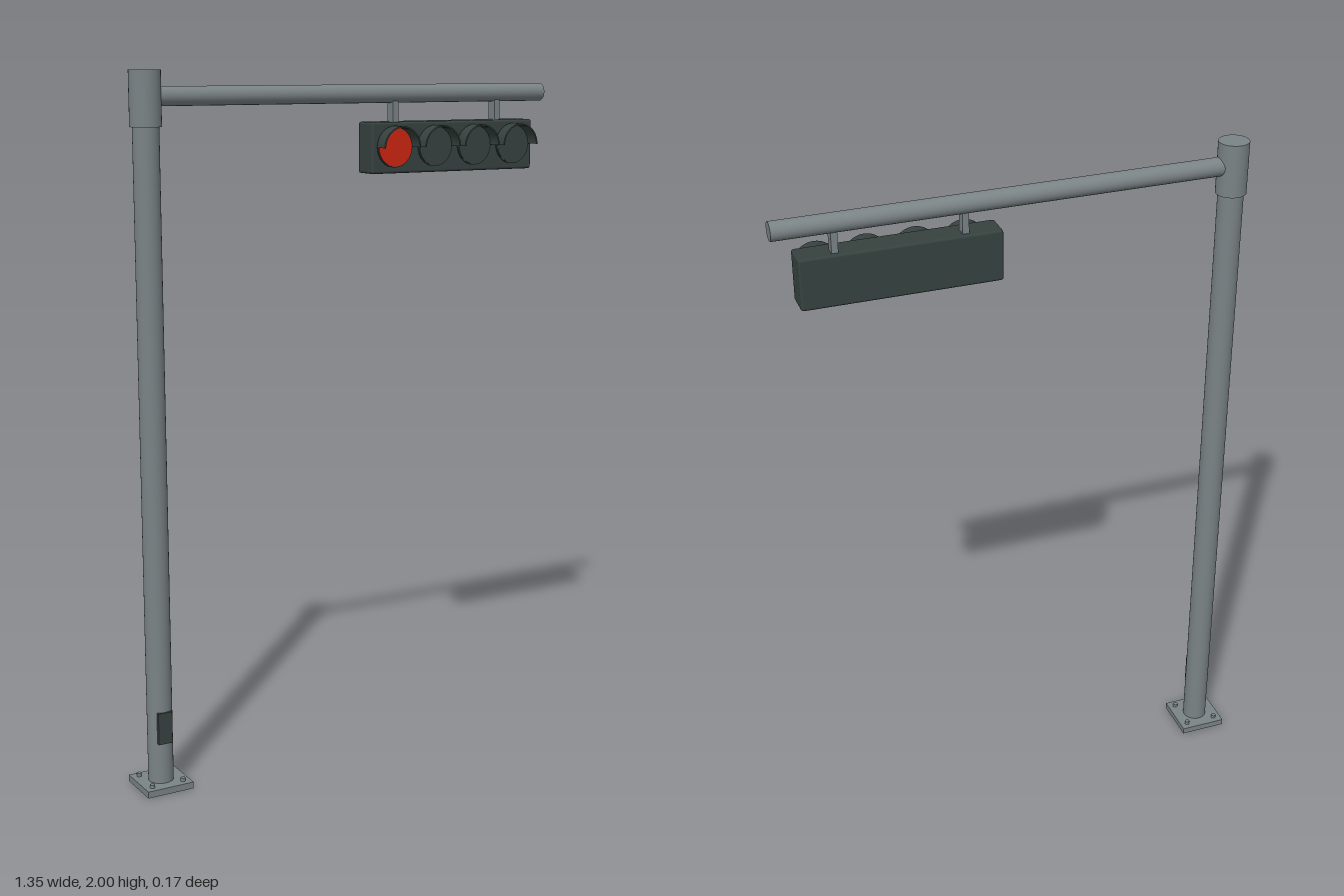
import * as THREE from 'three';
import { RoundedBoxGeometry } from 'three/addons/geometries/RoundedBoxGeometry.js';

const POLE_X = -0.605, POLE_Z = -0.0145, ARM_Y = 1.931;
const LAMP_Y = 1.783, FACE_Z = 0.037;

export function createModel() {
  const steel = new THREE.MeshStandardMaterial({ color: 0x7a8386 });
  steel.name = 'steel grey';
  const dark = new THREE.MeshStandardMaterial({ color: 0x36423f });
  dark.name = 'dark housing';
  const red = new THREE.MeshStandardMaterial({ color: 0xcc2410 });
  red.name = 'lit red';

  const model = new THREE.Group();
  model.name = 'trafficSignal';

  const add = (name, geometry, material, x, y, z) => {
    const mesh = new THREE.Mesh(geometry, material);
    mesh.name = name;
    mesh.position.set(x, y, z);
    model.add(mesh);
    return mesh;
  };
  const cylinder = (r, h, sides = 32) => new THREE.CylinderGeometry(r, r, h, sides);

  // Base plate with four anchor bolts
  add('basePlate', new THREE.BoxGeometry(0.139, 0.019, 0.139), steel, POLE_X, 0.0095, POLE_Z);
  for (const sx of [-1, 1]) for (const sz of [-1, 1]) {
    add('anchorBolt', cylinder(0.007, 0.012, 12), steel,
      POLE_X + sx * 0.047, 0.023, POLE_Z + sz * 0.047);
  }

  // Pole, top collar and access hatch
  add('pole', cylinder(0.036, 1.9), steel, POLE_X, 0.965, POLE_Z);
  add('collar', cylinder(0.043, 0.148), steel, POLE_X, 1.926, POLE_Z);
  add('hatch', new THREE.BoxGeometry(0.042, 0.092, 0.022), dark, POLE_X, 0.184, 0.015);

  // Horizontal arm
  const armStart = POLE_X + 0.02, armEnd = 0.674;
  add('arm', cylinder(0.026, armEnd - armStart), steel, (armStart + armEnd) / 2, ARM_Y, POLE_Z)
    .rotation.z = Math.PI / 2;

  // Hangers joining the signal head to the arm
  for (const x of [0.161, 0.511]) {
    add('hanger', new THREE.BoxGeometry(0.018, 0.075, 0.03), steel, x, 1.883, POLE_Z);
  }

  // Signal head
  add('housing', new RoundedBoxGeometry(0.55, 0.144, 0.079, 2, 0.007), dark,
    0.336, 1.781, FACE_Z - 0.0395);

  // Half-round visor hood
  const hood = new THREE.Shape();
  hood.absarc(0, 0, 0.06, 0, Math.PI, false);
  hood.absarc(0, 0, 0.056, Math.PI, 0, true);
  hood.closePath();
  const hoodGeometry = new THREE.ExtrudeGeometry(hood, {
    depth: 0.042, bevelEnabled: false, curveSegments: 20,
  });

  // Four lamps: rim, lens and visor, with only the first one lit
  for (let i = 0; i < 4; i++) {
    const x = 0.134 + i * 0.135;
    add('lampRim', cylinder(0.057, 0.006), dark, x, LAMP_Y, FACE_Z + 0.002)
      .rotation.x = Math.PI / 2;
    add('lens', cylinder(0.0545, 0.006), i === 0 ? red : dark, x, LAMP_Y, FACE_Z + 0.004)
      .rotation.x = Math.PI / 2;
    add('visor', hoodGeometry, dark, x, LAMP_Y, 0.042);
  }

  return model;
}
